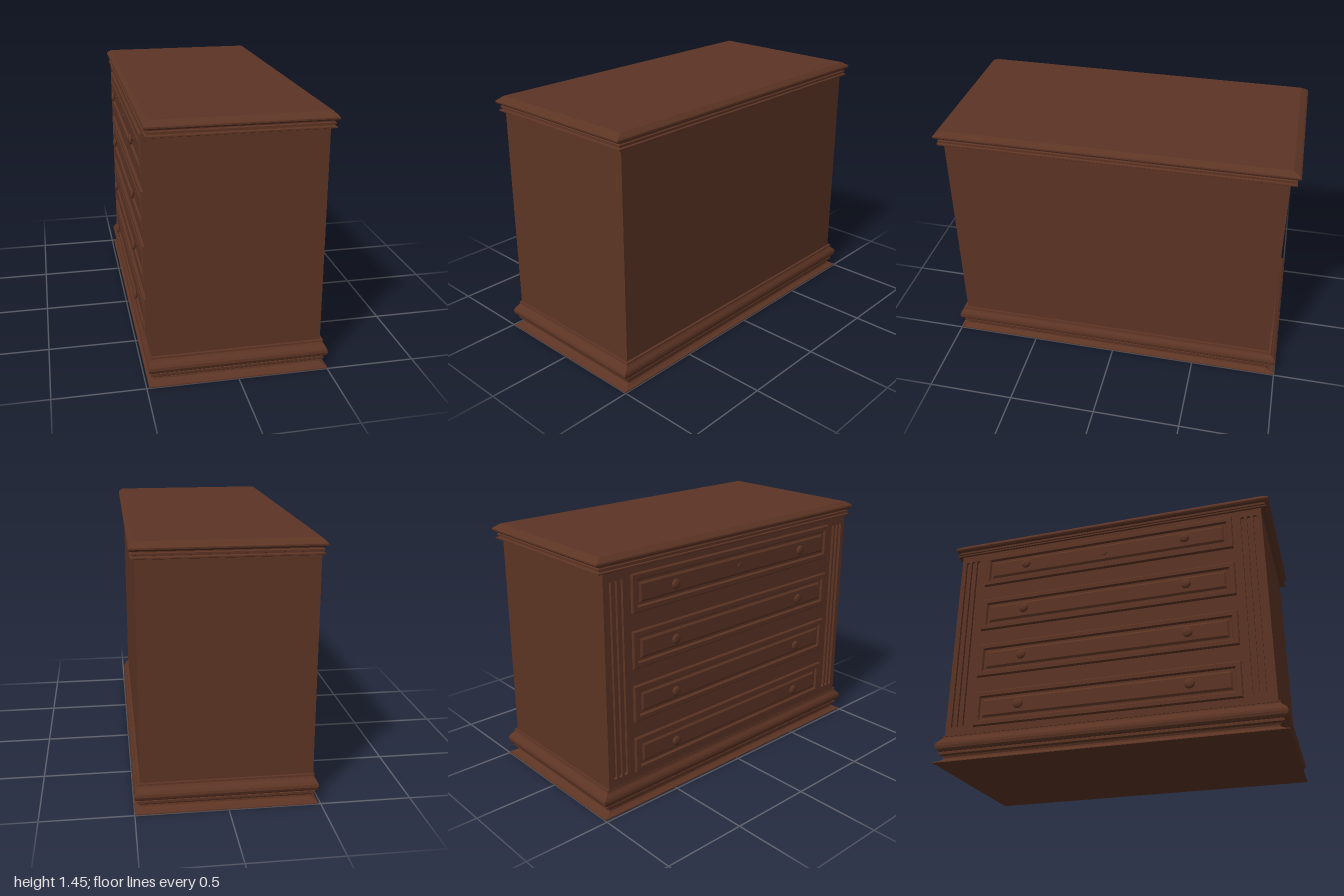
import * as THREE from 'three';

const wood = new THREE.MeshStandardMaterial({ color: 0x5c3424, flatShading: true });
const woodSmooth = new THREE.MeshStandardMaterial({ color: 0x5c3424 });

// Stack of rectangles [halfX, halfZ, y] joined by walls and capped at both ends
function rectLoft(rings) {
  const pos = [];
  const corners = ([hx, hz, y]) => [[-hx, y, -hz], [-hx, y, hz], [hx, y, hz], [hx, y, -hz]];
  const quad = (a, b, c, d) => pos.push(...a, ...b, ...c, ...a, ...c, ...d);
  for (let i = 0; i < rings.length - 1; i++) {
    const lo = corners(rings[i]), hi = corners(rings[i + 1]);
    for (let k = 0; k < 4; k++) {
      const n = (k + 1) % 4;
      quad(lo[k], lo[n], hi[n], hi[k]);
    }
  }
  const [a, b, c, d] = corners(rings[0]);
  quad(d, c, b, a);
  quad(...corners(rings[rings.length - 1]));
  const geo = new THREE.BufferGeometry();
  geo.setAttribute('position', new THREE.Float32BufferAttribute(pos, 3));
  geo.computeVertexNormals();
  return geo;
}

// Moulding profile as [overhang, y]; overhang 1 is the widest edge
const moulding = (profile) =>
  rectLoft(profile.map(([t, y]) => [0.464 + 0.029 * t, 0.95 + 0.05 * t, y]));

export function createModel() {
  const root = new THREE.Group();
  const add = (name, geo, x, y, z, mat = wood) => {
    const mesh = new THREE.Mesh(geo, mat);
    mesh.name = name;
    mesh.position.set(x, y, z);
    root.add(mesh);
    return mesh;
  };

  // Slightly tapered carcass
  add('body', rectLoft([[0.458, 0.952, 0.1], [0.457, 0.945, 1.4]]), 0.008, 0, 0);

  // Plinth with a cove below a rounded bulge
  add('baseMoulding', moulding([
    [1, 0], [0.98, 0.006], [0.45, 0.013], [0.05, 0.024], [0, 0.034], [0.15, 0.044], [0.5, 0.052],
    [0.52, 0.066], [0.42, 0.068], [0.6, 0.073], [0.88, 0.084], [1, 0.1],
    [0.95, 0.115], [0.75, 0.128], [0.45, 0.14], [0.3, 0.15], [0.28, 0.157], [0.35, 0.158], [0.35, 0.162],
  ]), 0.006, 0, 0);

  // Stepped cornice and bevelled top
  add('topMoulding', moulding([
    [0.45, 1.364], [0.58, 1.367], [0.58, 1.374], [0.2, 1.377], [0.2, 1.382], [0.45, 1.385],
    [0.45, 1.394], [0.25, 1.397], [0.25, 1.402], [0.45, 1.404], [0.7, 1.408], [0.87, 1.416],
    [0.87, 1.424], [0.7, 1.431], [0, 1.45],
  ]), 0.006, 0, 0);

  // Drawer-side face with fluted corner pilasters cut through it
  const face = new THREE.Shape([
    [-0.952, 0.1], [0.952, 0.1], [0.945, 1.39], [-0.945, 1.39],
  ].map(([x, y]) => new THREE.Vector2(x, y)));
  for (const side of [-1, 1]) {
    for (let i = 0; i < 3; i++) {
      const z = side * (0.835 + i * 0.036), r = 0.011;
      const flute = new THREE.Path();
      flute.absarc(z, 1.31, r, 0, Math.PI, false);
      flute.absarc(z, 0.22, r, Math.PI, Math.PI * 2, false);
      flute.closePath();
      face.holes.push(flute);
    }
  }
  const faceGeo = new THREE.ExtrudeGeometry(face, { depth: 0.016, bevelEnabled: false, curveSegments: 6 });
  add('flutedFace', faceGeo, -0.449, 0, 0).rotation.y = -Math.PI / 2;

  // Drawer front: framed border, sunk channel and raised field, as [inset, depth]
  const drawerGeo = rectLoft([
    [0, -0.005], [0, 0.01], [0.006, 0.015], [0.03, 0.015], [0.038, 0.004],
    [0.05, 0.004], [0.062, 0.012],
  ].map(([inset, d]) => [0.105 - inset, 0.775 - inset, d]));

  // Round turned knob
  const knobGeo = new THREE.LatheGeometry([
    [0.014, 0], [0.011, 0.006], [0.011, 0.012], [0.024, 0.014], [0.029, 0.019],
    [0.028, 0.025], [0.02, 0.03], [0.01, 0.032], [0, 0.0325],
  ].map(([r, y]) => new THREE.Vector2(r, y)), 20);

  for (let row = 0; row < 4; row++) {
    const y = 0.305 + row * 0.307;
    add('drawerFront', drawerGeo, -0.465, y, 0).rotation.z = Math.PI / 2;
    for (const z of [-0.495, 0.495]) {
      add('knob', knobGeo, -0.472, y, z, woodSmooth).rotation.z = Math.PI / 2;
    }
  }

  // Small lock plate on the top drawer
  const plate = new THREE.CylinderGeometry(0.016, 0.02, 0.01, 16);
  add('lockPlate', plate, -0.476, 1.226, 0).rotation.z = Math.PI / 2;

  return root;
}
